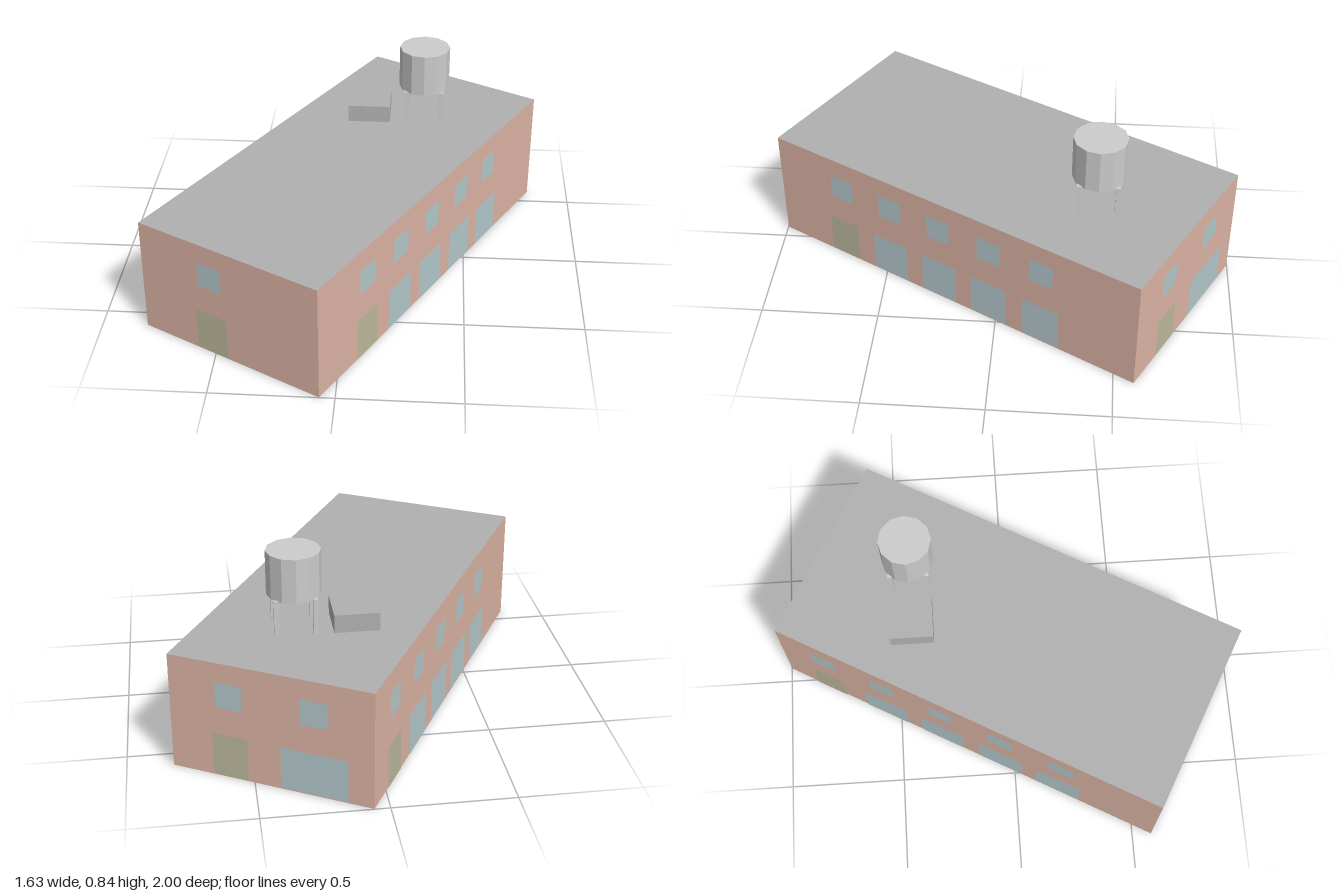
import * as THREE from 'three';

const mat = (color) => new THREE.MeshStandardMaterial({ color, flatShading: true });
const grey = mat(0xcccccc), roofGrey = mat(0xb0b0b0), brick = mat(0xdcb4a4);
const glass = mat(0xb4c8cc), doorPaint = mat(0xbcb89c);

function add(parent, name, geometry, material, x, y, z) {
  const mesh = new THREE.Mesh(geometry, material);
  mesh.name = name;
  mesh.position.set(x, y, z);
  parent.add(mesh);
  return mesh;
}

// Evenly spaced fractions along a wall
const spaced = (first, step, count) => Array.from({ length: count }, (_, i) => first + i * step);

export function createModel() {
  const model = new THREE.Group();
  model.name = 'warehouse';

  // Turned rectangular footprint: corners as [x, z]
  const back = [0.06, -1], right = [0.81, -0.585], front = [-0.06, 1], left = [-0.81, 0.585];
  const H = 0.505;
  const length = (p, q) => Math.hypot(q[0] - p[0], q[1] - p[1]);
  const angle = (p, q) => Math.atan2(p[1] - q[1], q[0] - p[0]);

  // Brick body with grey roof and underside
  const body = add(model, 'body',
    new THREE.BoxGeometry(length(left, front), H, length(front, right)),
    [brick, brick, roofGrey, roofGrey, brick, brick], 0, H / 2, 0);
  body.rotation.y = angle(left, front);

  // Each wall runs left to right as seen from outside
  function facade(name, p, q, doors, shopWindows, shopWidth, upperWindows) {
    const wall = new THREE.Group();
    wall.name = name;
    wall.position.set(p[0], 0, p[1]);
    wall.rotation.y = angle(p, q);
    model.add(wall);
    const L = length(p, q);
    const panel = (label, t, w, y0, y1, material) =>
      add(wall, label, new THREE.PlaneGeometry(w, y1 - y0), material, t * L, (y0 + y1) / 2, 0.002);
    doors.forEach((t) => panel('door', t, 0.15, 0.005, 0.19, doorPaint));
    shopWindows.forEach((t) => panel('groundWindow', t, shopWidth, 0.005, 0.19, glass));
    upperWindows.forEach((t) => panel('upperWindow', t, 0.112, 0.31, 0.42, glass));
  }
  facade('frontWall', left, front, [0.4], [], 0, [0.4]);
  facade('rightWall', front, right, [0.192], spaced(0.332, 0.14, 5), 0.176, spaced(0.193, 0.14, 6));
  facade('backWall', right, back, [0.295], [0.71], 0.28, [0.295, 0.71]);
  facade('leftWall', back, left, [0.12], spaced(0.278, 0.156, 4), 0.207, spaced(0.12, 0.157, 5));

  // Roof unit
  add(model, 'roofUnit', new THREE.BoxGeometry(0.185, 0.077, 0.184), roofGrey, 0.058, H + 0.0385, -0.41);

  // Water tank on four legs
  const tower = new THREE.Group();
  tower.name = 'waterTower';
  tower.position.set(0.3, H, -0.41);
  model.add(tower);
  add(tower, 'tank', new THREE.CylinderGeometry(0.111, 0.111, 0.187, 12), grey, 0, 0.2405, 0);
  for (const sx of [-1, 1]) for (const sz of [-1, 1])
    add(tower, 'tankLeg', new THREE.BoxGeometry(0.02, 0.15, 0.02), grey, sx * 0.078, 0.075, sz * 0.078);

  return model;
}
